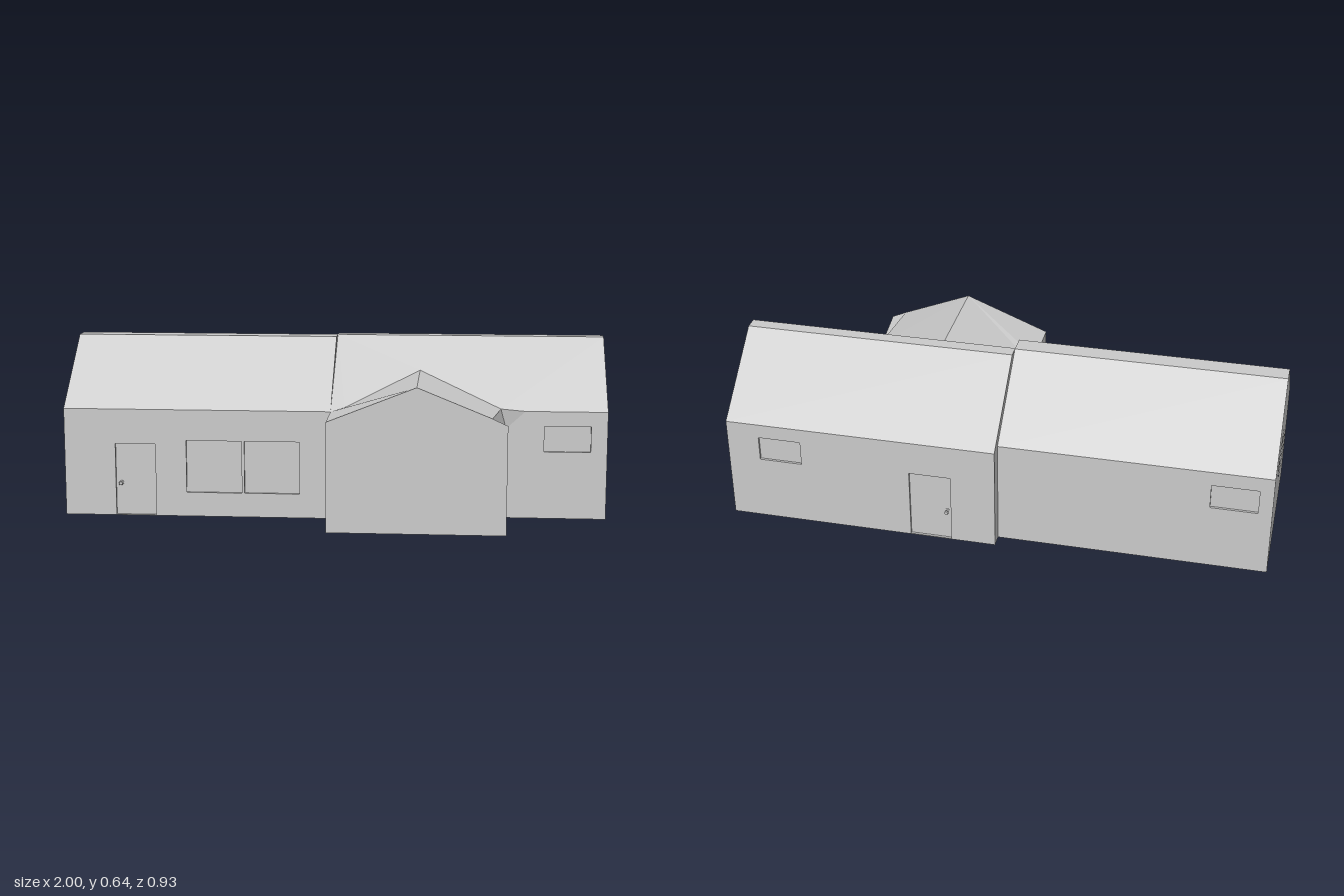
import * as THREE from 'three';

const material = new THREE.MeshStandardMaterial({ color: 0xcccccc, side: THREE.DoubleSide, flatShading: true });
const RECESS = 0.01;

function mesh(name, geometry, parent) {
  const m = new THREE.Mesh(geometry, material);
  m.name = name;
  parent.add(m);
  return m;
}

// Planar or gently warped panel, triangulated as a fan from its first corner
function panel(name, corners, parent) {
  const pos = [];
  for (let i = 1; i < corners.length - 1; i++) pos.push(...corners[0], ...corners[i], ...corners[i + 1]);
  const g = new THREE.BufferGeometry();
  g.setAttribute('position', new THREE.Float32BufferAttribute(pos, 3));
  g.computeVertexNormals();
  return mesh(name, g, parent);
}

function rectPoints(x0, x1, y0, y1) {
  return [[x0, y0], [x1, y0], [x1, y1], [x0, y1]].map(p => new THREE.Vector2(...p));
}

// Door knob: a lathe of rose, neck and ball pointing along +z
function knob(x, y, parent) {
  const profile = [[0, 0], [0.008, 0], [0.008, 0.002], [0.003, 0.003], [0.003, 0.011],
    [0.007, 0.013], [0.008, 0.017], [0.006, 0.021], [0, 0.022]].map(p => new THREE.Vector2(...p));
  const k = mesh('doorKnob', new THREE.LatheGeometry(profile, 12), parent);
  k.rotation.x = Math.PI / 2;
  k.position.set(x, y, -RECESS);
}

// Wall in local x/y facing +z, with recessed openings [x0, x1, y0, y1, kind]
function wall(name, outline, position, angle, openings, parent) {
  const group = new THREE.Group();
  group.name = name;
  group.position.set(...position);
  group.rotation.y = angle;
  parent.add(group);
  const shape = new THREE.Shape(outline.map(p => new THREE.Vector2(...p)));
  for (const [x0, x1, y0, y1, kind] of openings) {
    shape.holes.push(new THREE.Path(rectPoints(x0, x1, y0, y1)));
    // Frame lining the opening behind the wall
    const t = 0.006;
    const frame = new THREE.Shape(rectPoints(x0 - t, x1 + t, Math.max(y0 - t, 0), y1 + t));
    frame.holes.push(new THREE.Path(rectPoints(x0, x1, y0, y1)));
    const f = mesh(kind + 'Frame', new THREE.ExtrudeGeometry(frame, { depth: RECESS - 0.001, bevelEnabled: false }), group);
    f.position.z = -RECESS;
    // Window pane or door leaf
    const p = mesh(kind === 'door' ? 'doorLeaf' : 'windowPane', new THREE.PlaneGeometry(x1 - x0, y1 - y0), group);
    p.position.set((x0 + x1) / 2, (y0 + y1) / 2, -RECESS);
  }
  mesh(name + 'Surface', new THREE.ShapeGeometry(shape), group);
  return group;
}

export function createModel() {
  const house = new THREE.Group();
  house.name = 'house';
  const E = 0.4, R = 0.64;      // eaves and ridge heights
  const J = -0.01;              // joint between the two wings
  const PZ = 0.465, PX = 0.63;  // porch front and right side
  const W0 = 0.25, W1 = 0.345;  // small window sill and head

  // Left wing walls
  const leftFront = wall('leftWingFrontWall', [[-1, 0], [J, 0], [J, E], [-1, E]], [0, 0, 0.25], 0, [
    [-0.81, -0.66, 0.002, 0.27, 'door'],
    [-0.545, -0.339, 0.09, 0.285, 'window'],
    [-0.329, -0.125, 0.09, 0.285, 'window'],
  ], house);
  knob(-0.79, 0.122, leftFront);
  wall('leftWingBackWall', [[-J, 0], [1, 0], [1, E], [-J, E]], [0, 0, -0.4], Math.PI,
    [[0.78, 0.95, W0, W1, 'window']], house);
  wall('leftGable', [[-0.4, 0], [0.25, 0], [0.25, E], [-0.04, R], [-0.11, R], [-0.4, E]], [-1, 0, 0], -Math.PI / 2,
    [[-0.17, 0.045, W0, W1, 'window']], house);

  // Right wing walls
  const rightBack = wall('rightWingBackWall', [[-1, 0], [-J, 0], [-J, E], [-1, E]], [0, 0, -0.45], Math.PI, [
    [-0.31, -0.155, 0.002, 0.27, 'door'],
    [-0.88, -0.72, W0, W1, 'window'],
  ], house);
  knob(-0.17, 0.122, rightBack);
  wall('rightGable', [[-0.187, 0], [0.45, 0], [0.45, E], [0.155, R], [0.105, R], [-0.187, E]], [1, 0, 0], Math.PI / 2,
    [[0.02, 0.235, W0, W1, 'window']], house);
  wall('rightWingFrontWall', [[PX, 0], [1, 0], [1, E], [0.7, E], [PX, 0.335]], [0, 0, 0.187], 0,
    [[0.77, 0.94, W0, W1, 'window']], house);

  // Left wing roof: front slope, flat ridge, back slope
  const section = [[E, 0.25], [R, -0.04], [R, -0.11], [E, -0.4]];
  ['FrontRoof', 'Ridge', 'BackRoof'].forEach((n, i) => {
    const [a, b] = [section[i], section[i + 1]];
    panel('leftWing' + n, [[-1, ...a], [J, ...a], [J, ...b], [-1, ...b]], house);
  });

  // Right wing roof, with the front slope cut by the porch valleys
  const ridgeL = [J, R, -0.105], ridgeR = [1, R, -0.105];
  const apex = [0.31, 0.527, 0.045], valleyL = [0.04, 0.415, 0.245], eaveL = [J, E, 0.25];
  const valleyR = [0.61, 0.41, 0.2], eaveR = [0.7, E, 0.187], cornerR = [PX, 0.335, 0.187];
  panel('rightWingRidge', [ridgeL, ridgeR, [1, R, -0.155], [J, R, -0.155]], house);
  panel('rightWingBackRoof', [[J, R, -0.155], [1, R, -0.155], [1, E, -0.45], [J, E, -0.45]], house);
  panel('rightWingFrontRoof', [ridgeL, eaveL, valleyL, apex, ridgeR], house);
  panel('rightWingFrontRoofEnd', [ridgeR, apex, valleyR, eaveR, [1, E, 0.187]], house);
  panel('valleyInfill', [valleyR, cornerR, eaveR], house);

  // Steps where the wings are offset
  panel('frontRoofStep', [eaveL, ridgeL, [J, R, -0.04]], house);
  panel('backWallStep', [[J, 0, -0.45], [J, 0, -0.4], [J, E, -0.4], [J, E, -0.45]], house);
  panel('backRoofStep', [[J, E, -0.45], [J, E, -0.4], [J, R, -0.11], [J, R, -0.155]], house);

  // Porch walls
  const hip = [0.575, 0.42, PZ], frontCorner = [PX, 0.395, PZ], top = [0.31, 0.527, PZ];
  wall('porchFrontWall', [[J, 0], [PX, 0], frontCorner.slice(0, 2), hip.slice(0, 2), top.slice(0, 2), [J, E]],
    [0, 0, PZ], 0, [], house);
  panel('porchLeftWall', [[J, 0, 0.25], [J, 0, PZ], [J, E, PZ], [J, E, 0.25]], house);
  panel('porchRightWall', [[PX, 0, PZ], [PX, 0, 0.187], cornerR, frontCorner], house);

  // Porch roof with a steeper strip along its right eave
  panel('porchLeftRoof', [top, apex, valleyL, eaveL, [J, E, PZ]], house);
  panel('porchRightRoof', [top, hip, valleyR, apex], house);
  panel('porchRightEave', [hip, frontCorner, cornerR, valleyR], house);

  return house;
}
